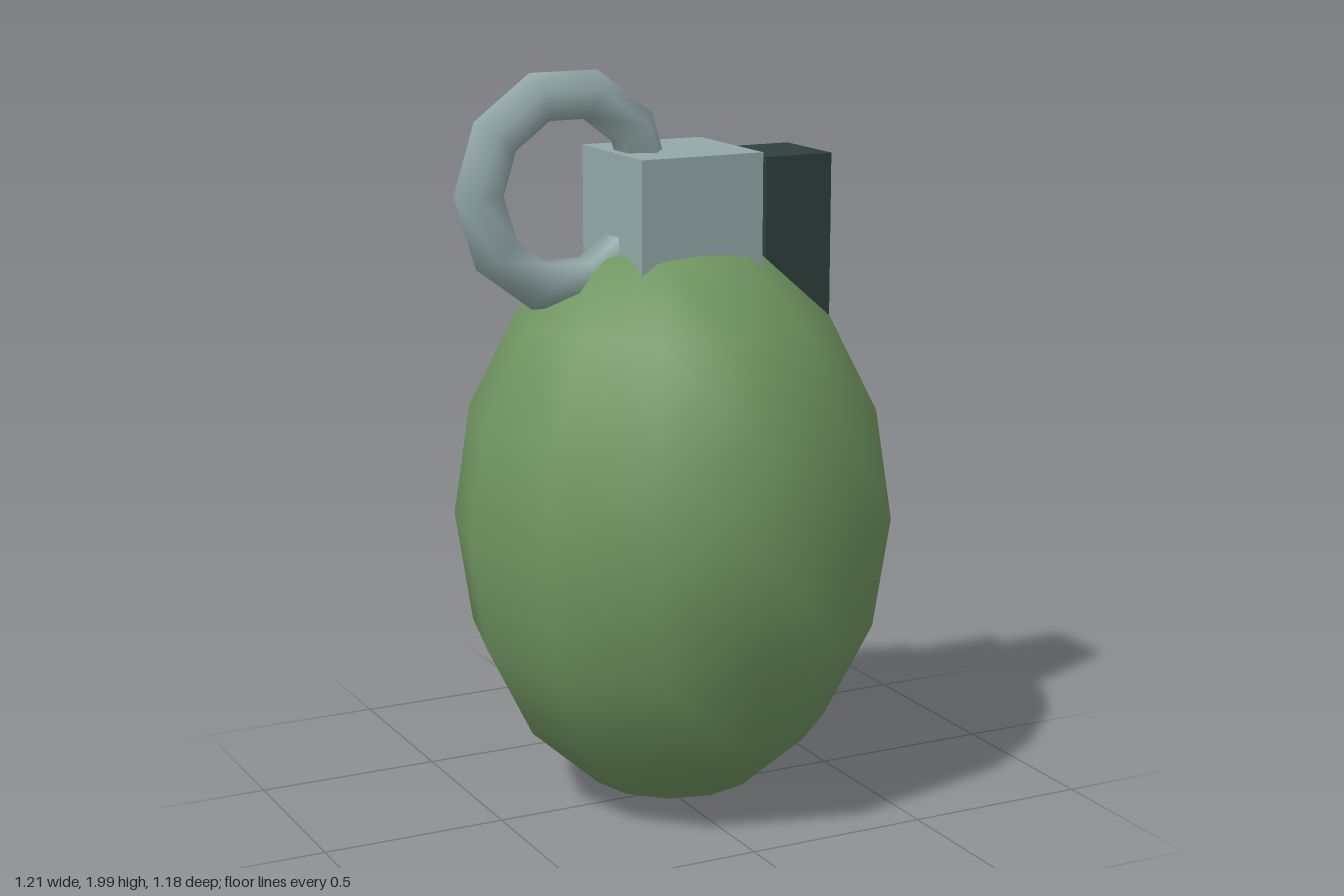
import * as THREE from 'three';

const green = new THREE.MeshStandardMaterial({ color: 0x6f9460 });
const steel = new THREE.MeshStandardMaterial({ color: 0x93a8a8 });
const dark = new THREE.MeshStandardMaterial({ color: 0x2e403d });

export function createModel() {
  const model = new THREE.Group();

  function add(name, geometry, material, x, y, z = 0) {
    const mesh = new THREE.Mesh(geometry, material);
    mesh.name = name;
    mesh.position.set(x, y, z);
    model.add(mesh);
    return mesh;
  }

  // Egg-shaped body: a low-poly sphere stretched upwards, smooth shaded
  const body = new THREE.SphereGeometry(0.59, 12, 8);
  body.scale(1, 0.785 / 0.59, 1);
  add('body', body, green, 0.012, 0.79);

  // Square fuse cap sunk into the top of the body
  add('fuseCap', new THREE.BoxGeometry(0.35, 0.36, 0.355), steel, 0.012, 1.605);

  // Safety lever, its lower end sunk into the body
  add('lever', new THREE.BoxGeometry(0.195, 0.56, 0.238), dark, 0.327, 1.483);

  // Pull ring: five-sided tube around a decagon, entering the cap
  const ring = new THREE.TorusGeometry(0.242, 0.067, 5, 10);
  ring.scale(1, 1.037, 1);
  add('pullRing', ring, steel, -0.297, 1.695);

  return model;
}
